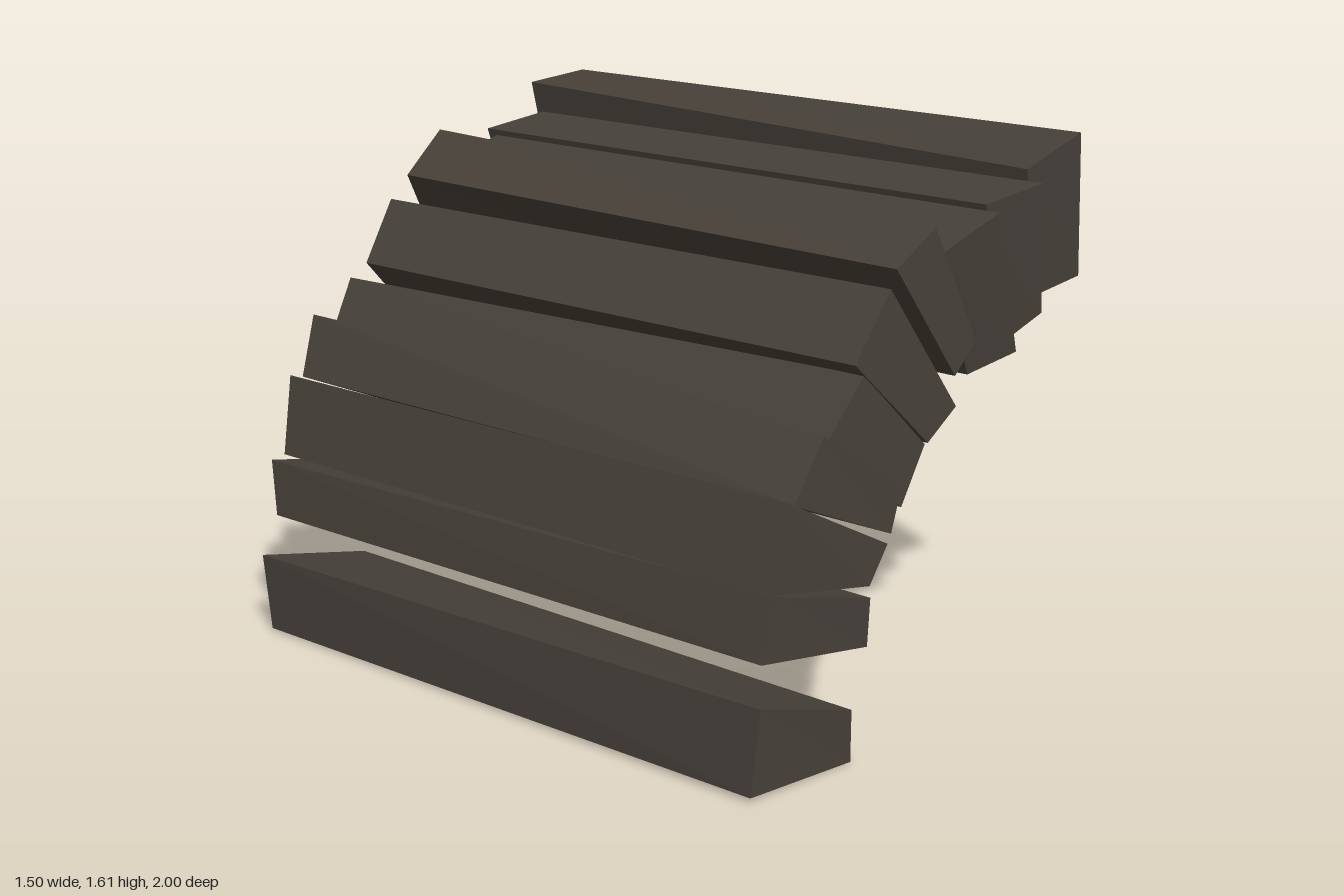
import * as THREE from 'three';

// Front outline of each stone, clockwise as [x, y] pairs from its upper left corner,
// then the [x, y] shift of that corner at the rear end.
const stones = [
  [[-0.70, 0.26], [-0.36, 0.16], [-0.36, 0.005], [-0.74, 0.02], [-0.04, -0.02]],
  [[-0.645, 0.56], [-0.285, 0.465], [-0.295, 0.325], [-0.70, 0.385], [-0.04, -0.02]],
  [[-0.595, 0.805], [-0.21, 0.60], [-0.29, 0.50], [-0.675, 0.57], [0, -0.01]],
  [[-0.445, 0.95], [-0.15, 0.75], [-0.195, 0.625], [-0.57, 0.79], [-0.045, 0.02]],
  [[-0.27, 1.08], [-0.045, 0.845], [-0.15, 0.69], [-0.43, 0.93], [-0.06, -0.02]],
  [[-0.155, 1.295], [0.105, 0.92], [-0.03, 0.845], [-0.31, 1.115], [0.01, -0.01]],
  [[0.05, 1.43], [0.195, 1.09], [0.095, 1.01], [-0.13, 1.345], [0.03, 0.05]],
  [[0.085, 1.35], [0.29, 1.44], [0.41, 1.015], [0.235, 0.975], [0, 0]],
  [[0.30, 1.455], [0.515, 1.49], [0.54, 1.105], [0.41, 1.03], [0, 0]],
  [[0.51, 1.525], [0.715, 1.61], [0.74, 1.18], [0.57, 1.14], [0.005, 0.06]],
];

// Loft the outline along z; the ends are cut slightly askew.
function stoneGeometry([a, b, c, d, shift]) {
  const outline = [a, b, c, d];
  const follow = [1, 0, 0, 0.4]; // how much each corner takes part in the rear shift
  const front = outline.map(([x, y], i) => [x, y, i === 1 || i === 2 ? 1 : 0.95]);
  const back = outline.map(([x, y], i) => [
    x + shift[0] * follow[i], y + shift[1] * follow[i], i % 2 ? -0.95 : -1,
  ]);
  const index = [0, 2, 1, 0, 3, 2, 4, 5, 6, 4, 6, 7];
  for (let i = 0; i < 4; i++) {
    const j = (i + 1) % 4;
    index.push(i, j, j + 4, i, j + 4, i + 4);
  }
  const geometry = new THREE.BufferGeometry();
  geometry.setAttribute('position', new THREE.Float32BufferAttribute([...front, ...back].flat(), 3));
  geometry.setIndex(index);
  const flat = geometry.toNonIndexed();
  flat.computeVertexNormals();
  return flat;
}

export function createModel() {
  const group = new THREE.Group();
  group.name = 'brokenArch';
  const stone = new THREE.MeshStandardMaterial({ color: 0x453f38 });
  stone.name = 'dark stone';

  // Rough wedge stones climbing from the foot to the crown of the arch
  stones.forEach((outline, i) => {
    const mesh = new THREE.Mesh(stoneGeometry(outline), stone);
    mesh.name = `archStone${i + 1}`;
    group.add(mesh);
  });
  return group;
}
